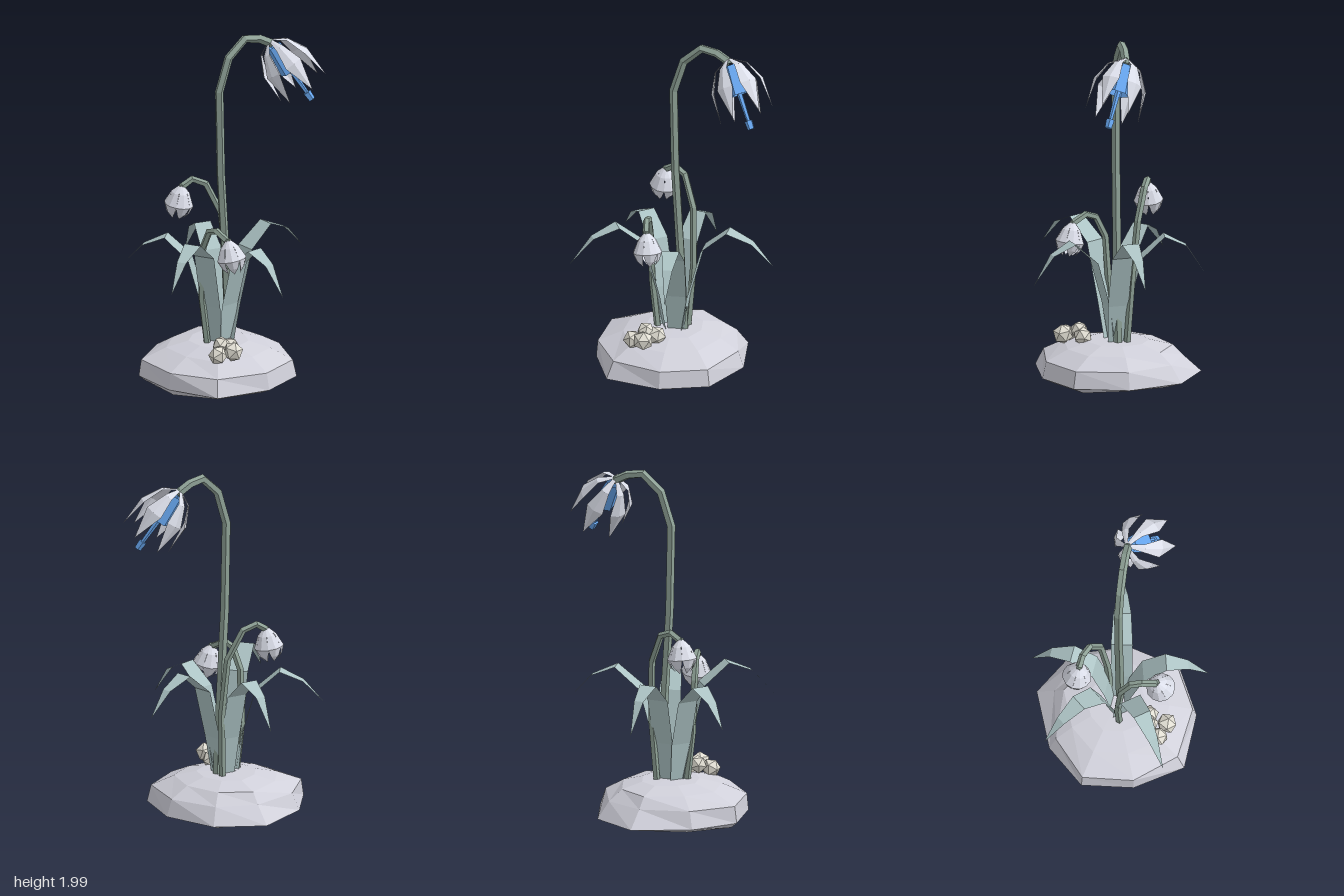
import * as THREE from 'three';

const mat = (color) => new THREE.MeshStandardMaterial({ color, flatShading: true, side: THREE.DoubleSide });
const MATS = {
  rock: mat(0xd0d0da), stem: mat(0x8fa297), leaf: mat(0xaec5c6),
  petal: mat(0xdcdfea), core: mat(0x6aaaf4), pebble: mat(0xe2dfd4),
};

function addMesh(parent, name, geometry, material) {
  const mesh = new THREE.Mesh(geometry, material);
  mesh.name = name;
  parent.add(mesh);
  return mesh;
}

// Faceted surface from rows of [x, y, z] points.
function loft(rows, closed = false) {
  const n = rows[0].length;
  const index = [];
  for (let i = 0; i < rows.length - 1; i++) {
    for (let j = 0; j < (closed ? n : n - 1); j++) {
      const k = (j + 1) % n;
      const a = i * n + j, b = a + n, c = (i + 1) * n + k, d = i * n + k;
      index.push(a, b, c, a, c, d);
    }
  }
  const g = new THREE.BufferGeometry();
  g.setAttribute('position', new THREE.Float32BufferAttribute(rows.flat(2), 3));
  g.setIndex(index);
  const flat = g.toNonIndexed();
  flat.computeVertexNormals();
  return flat;
}

// Stem with a ring exactly at every path point.
function stemGeometry(points, radius) {
  const curve = new THREE.CatmullRomCurve3(points.map((p) => new THREE.Vector3(...p)));
  curve.getPointAt = (t) => curve.getPoint(t);
  curve.getTangentAt = (t) => curve.getTangent(t);
  return new THREE.TubeGeometry(curve, points.length - 1, radius, 5, false);
}

// Arching, pointed leaf from a base point to a tip.
function leafGeometry([bx, bz], [tx, tz], topY, tipY) {
  const dx = tx - bx, dz = tz - bz, len = Math.hypot(dx, dz);
  const sx = dz / len, sz = -dx / len;
  // distance along, height, half width
  const section = [
    [0, 0.2, 0.046], [0.08, 0.45, 0.06], [0.23, topY - 0.12, 0.061],
    [0.5, topY, 0.05], [0.76, topY - 0.06, 0.028], [1, tipY, 0],
  ];
  return loft(section.map(([f, y, w]) => [-1, 1].map((s) => [bx + dx * f + s * w * sx, y, bz + dz * f + s * w * sz])));
}

// Ring of six ridged petals hanging down from the origin; rows are [radius, y, half width].
function petalRing(rows) {
  const ring = new THREE.Group();
  ring.name = 'petals';
  const g = loft(rows.map(([r, y, w]) => [-1, 0, 1].map((s) => [s * w, y, r - Math.abs(s) * w * 0.3])));
  for (let k = 0; k < 6; k++) addMesh(ring, 'petal', g, MATS.petal).rotation.y = (k * Math.PI) / 3;
  return ring;
}

// Group placed at a stem end, with its -y axis turned along the hanging direction.
function hangingHead(name, position, direction, rows) {
  const head = new THREE.Group();
  head.name = name;
  head.position.set(...position);
  head.quaternion.setFromUnitVectors(new THREE.Vector3(0, -1, 0), new THREE.Vector3(...direction).normalize());
  const ring = petalRing(rows);
  ring.rotation.y = Math.atan2(direction[0], direction[2]);
  head.add(ring);
  addMesh(head, 'calyx', new THREE.CylinderGeometry(0.016, 0.02, 0.03, 5), MATS.stem).position.y = -0.008;
  return head;
}

function createRock() {
  const cx = -0.05, cz = -0.01;
  const outline = [
    [0.02, -0.47], [0.27, -0.31], [0.36, 0.0], [0.27, 0.3], [0.02, 0.43],
    [-0.3, 0.41], [-0.46, 0.15], [-0.49, -0.14], [-0.3, -0.35],
  ];
  const shoulder = [0.78, 0.84, 0.92, 0.95, 0.95, 0.9, 0.98, 0.97, 0.9];
  const hem = [0.66, 0.74, 0.72, 0.78, 0.86, 0.9, 0.92, 0.92, 0.78];
  const hemY = [0.02, 0.01, 0.015, 0.005, 0.02, 0.03, 0.012, 0.02, 0.012];
  const ring = (y, scale) => outline.map(([x, z], j) => {
    const s = Array.isArray(scale) ? scale[j] : scale;
    return [cx + (x - cx) * s, Array.isArray(y) ? y[j] : y, cz + (z - cz) * s];
  });
  // Hollow underside with an undercut hem and a narrow inward lip
  return loft([
    ring(0.03, hem.map((s) => s - 0.1)), ring(hemY, hem), ring(0.05, 1), ring(0.145, shoulder),
    ring(0.205, 0.66), ring(0.235, 0.38), ring(0.24, 0),
  ], true);
}

export function createModel() {
  const model = new THREE.Group();
  model.name = 'droopingFlower';

  addMesh(model, 'rockBase', createRock(), MATS.rock);

  // Pebble cluster
  [[-0.205, 0.24, 0.25, 0.055], [-0.13, 0.26, 0.285, 0.058], [-0.09, 0.25, 0.18, 0.055], [-0.15, 0.272, 0.19, 0.052]]
    .forEach(([x, y, z, r], i) => {
      const pebble = addMesh(model, 'pebble', new THREE.IcosahedronGeometry(r, 0), MATS.pebble);
      pebble.position.set(x, y, z);
      pebble.rotation.set(i * 0.7, i * 1.3, 0);
    });

  // Leaves: base, tip, top height, tip height
  [
    [[-0.035, -0.03], [0.012, -0.5], 0.835, 0.6],
    [[-0.1, -0.02], [-0.48, -0.35], 0.83, 0.64],
    [[-0.1, 0.02], [-0.55, 0.33], 0.89, 0.68],
    [[-0.03, 0.025], [0.075, 0.49], 0.825, 0.6],
    [[-0.005, 0.01], [0.52, -0.06], 0.865, 0.665],
  ].forEach((args) => addMesh(model, 'leaf', leafGeometry(...args), MATS.leaf));

  // Stems
  addMesh(model, 'mainStem', stemGeometry([
    [0.01, 0.2, 0], [-0.015, 0.7, 0], [-0.045, 1.2, 0], [-0.055, 1.69, 0],
    [0.005, 1.88, 0], [0.11, 1.976, 0], [0.2, 1.962, 0], [0.28, 1.92, 0.005],
  ], 0.025), MATS.stem);
  addMesh(model, 'backStem', stemGeometry([
    [0.01, 0.2, -0.05], [0.035, 0.6, -0.075], [0.02, 0.93, -0.11],
    [-0.05, 1.1, -0.16], [-0.12, 1.13, -0.19], [-0.175, 1.095, -0.2],
  ], 0.02), MATS.stem);
  addMesh(model, 'frontStem', stemGeometry([
    [-0.14, 0.2, 0.02], [-0.175, 0.5, 0.015], [-0.18, 0.8, 0.035],
    [-0.17, 0.915, 0.09], [-0.16, 0.935, 0.15], [-0.135, 0.895, 0.225],
  ], 0.02), MATS.stem);

  // Closed buds
  const budRows = [[0.014, 0, 0.008], [0.052, -0.04, 0.025], [0.083, -0.11, 0.041], [0.066, -0.155, 0.024], [0.036, -0.19, 0]];
  model.add(hangingHead('backBud', [-0.18, 1.1, -0.2], [-0.12, -1, -0.1], budRows));
  model.add(hangingHead('frontBud', [-0.13, 0.9, 0.23], [0.12, -1, 0.18], budRows));

  // Open flower with a blue heart
  const flower = hangingHead('openFlower', [0.27, 1.935, 0], [0.46, -0.82, 0.34],
    [[0.018, 0, 0.01], [0.095, -0.045, 0.024], [0.152, -0.155, 0.052], [0.152, -0.335, 0]]);
  addMesh(flower, 'innerTube', new THREE.CylinderGeometry(0.042, 0.064, 0.17, 6, 1, true), MATS.core).position.y = -0.12;
  addMesh(flower, 'style', new THREE.CylinderGeometry(0.02, 0.011, 0.3, 5), MATS.core).position.y = -0.23;
  addMesh(flower, 'stigma', new THREE.CylinderGeometry(0.024, 0.02, 0.05, 5), MATS.core).position.y = -0.385;
  model.add(flower);

  return model;
}
